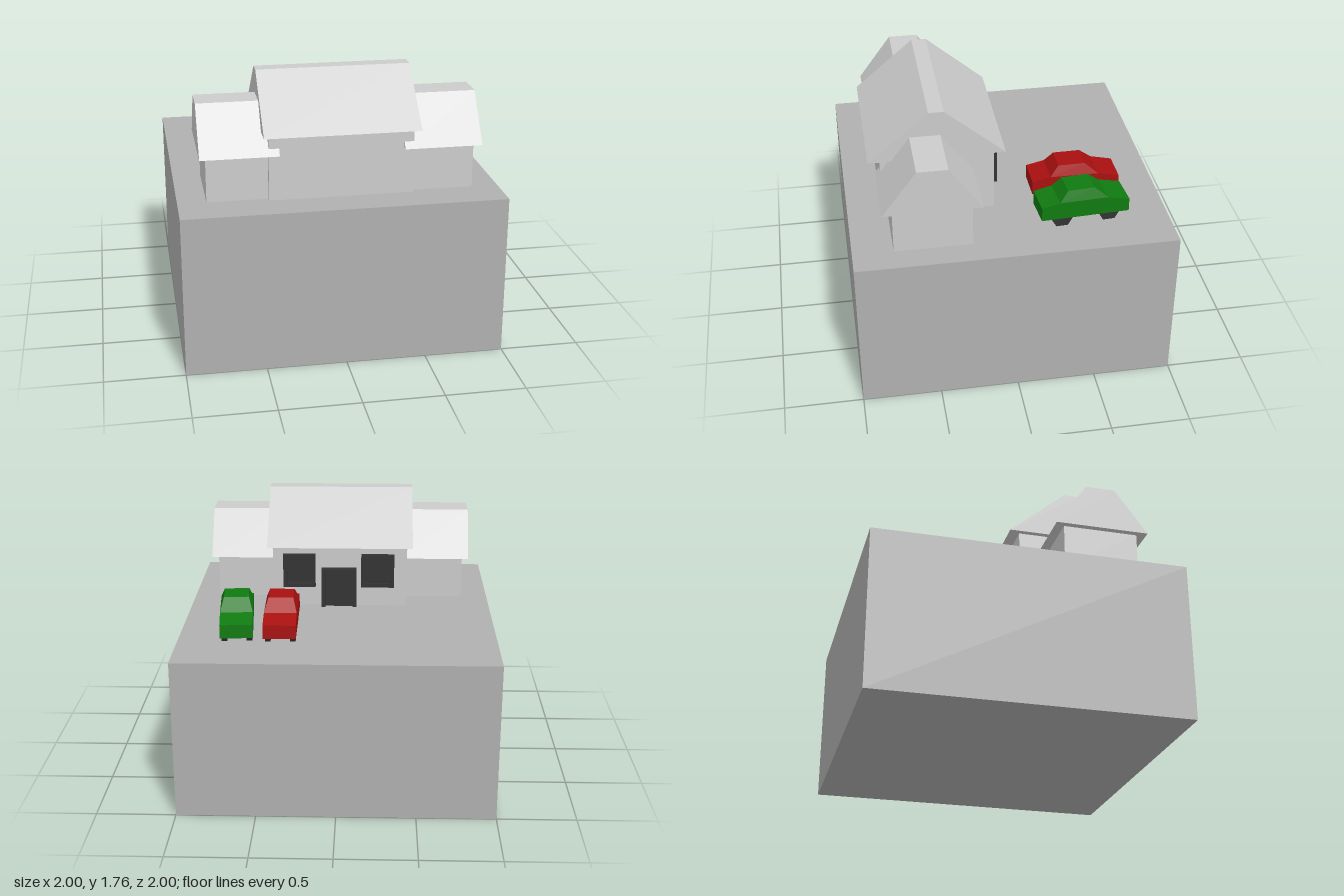
import * as THREE from 'three';

const GROUND = 1.025;
const paint = (color) => new THREE.MeshStandardMaterial({ color, flatShading: true });
const grey = paint(0xcccccc), stone = paint(0xb0b0b0), dark = paint(0x333333);

function add(parent, name, geometry, material) {
  const mesh = new THREE.Mesh(geometry, material);
  mesh.name = name;
  parent.add(mesh);
  return mesh;
}

// Box given by its limits on each axis
function span(x0, x1, y0, y1, z0, z1) {
  return new THREE.BoxGeometry(x1 - x0, y1 - y0, z1 - z0)
    .translate((x0 + x1) / 2, (y0 + y1) / 2, (z0 + z1) / 2);
}

// Prism along x from a [z, y] outline
function prism(points, x0, x1) {
  const shape = new THREE.Shape(points.map(([z, y]) => new THREE.Vector2(z, y)));
  return new THREE.ExtrudeGeometry(shape, { depth: x1 - x0, bevelEnabled: false })
    .rotateY(-Math.PI / 2).translate(x1, 0, 0);
}

// Frame with a recessed panel, set on the back wall
function opening(parent, name, x0, x1, y0, y1, zFace, zPanel, hasSill) {
  const g = new THREE.Group(), t = 0.025, zWall = 0.08;
  g.name = name;
  add(g, 'panel', span(x0 + t, x1 - t, y0, y1 - t, zPanel, zWall), dark);
  add(g, 'jamb', span(x0, x0 + t, y0, y1, zFace, zWall), dark);
  add(g, 'jamb', span(x1 - t, x1, y0, y1, zFace, zWall), dark);
  add(g, 'lintel', span(x0 + t, x1 - t, y1 - t, y1, zFace, zWall), dark);
  if (hasSill) add(g, 'sill', span(x0 + t, x1 - t, y0, y0 + t, zFace, zWall), dark);
  parent.add(g);
}

// Car with its nose towards -z
function car(name, color) {
  const g = new THREE.Group(), body = paint(color), w = 0.102;
  g.name = name;
  add(g, 'carBody', prism([
    [-0.283, 0.06], [0.28, 0.07], [0.28, 0.16], [0.165, 0.185], [-0.145, 0.18], [-0.283, 0.147],
  ], -w, w), body);

  // Cabin: a box whose corners are drawn in towards the roof
  const cabin = new THREE.BoxGeometry(1, 1, 1), p = cabin.attributes.position;
  for (let i = 0; i < p.count; i++) {
    const top = p.getY(i) > 0, rear = p.getZ(i) > 0;
    p.setXYZ(i, Math.sign(p.getX(i)) * (top ? 0.078 : w),
      top ? 0.252 : rear ? 0.185 : 0.18,
      top ? (rear ? 0.11 : -0.06) : (rear ? 0.165 : -0.145));
  }
  cabin.computeVertexNormals();
  add(g, 'cabin', cabin, body);

  // Six-sided wheels
  for (const x of [-1, 1]) for (const z of [-0.157, 0.147]) {
    const wheel = new THREE.CylinderGeometry(0.074, 0.074, 0.035, 6)
      .rotateZ(Math.PI / 2).rotateX(Math.PI / 6);
    // Turn so that a flat side faces the ground
    wheel.computeBoundingBox();
    if (wheel.boundingBox.min.y < -0.07) wheel.rotateX(Math.PI / 6);
    add(g, 'wheel', wheel.translate(x * 0.078, 0.074, z), dark);
  }
  return g;
}

export function createModel() {
  const model = new THREE.Group();
  model.name = 'houseOnBlock';
  add(model, 'groundBlock', span(-1, 1, 0, GROUND, -1, 1), stone);

  // Main house
  const house = new THREE.Group();
  house.name = 'house';
  model.add(house);
  add(house, 'mainWalls', span(-0.445, 0.45, GROUND, 1.445, 0.07, 0.78), grey);
  add(house, 'mainRoof', prism([[0, 1.443], [0.855, 1.443], [0.475, 1.765], [0.38, 1.765]], -0.48, 0.482), grey);

  // Side wings, whose roofs run into the main house
  const wingRoof = [[0.2, 1.315], [0.81, 1.315], [0.595, 1.605], [0.405, 1.605]];
  add(house, 'rightWingWalls', span(-0.823, -0.4, GROUND, 1.32, 0.26, 0.747), grey);
  add(house, 'rightWingRoof', prism(wingRoof, -0.862, -0.38), grey);
  add(house, 'leftWingWalls', span(0.4, 0.835, GROUND, 1.32, 0.26, 0.747), grey);
  add(house, 'leftWingRoof', prism(wingRoof, 0.39, 0.873), grey);

  // Door and windows on the back wall
  opening(house, 'door', -0.11, 0.125, GROUND, 1.29, 0.025, 0.05, false);
  opening(house, 'leftWindow', 0.165, 0.38, 1.16, 1.385, 0.04, 0.06, true);
  opening(house, 'rightWindow', -0.36, -0.14, 1.16, 1.385, 0.04, 0.06, true);

  // Parked cars
  const redCar = car('redCar', 0xa81010);
  redCar.position.set(0.357, GROUND, -0.453);
  redCar.rotation.y = 0.015;
  const greenCar = car('greenCar', 0x107a10);
  greenCar.position.set(0.64, GROUND, -0.45);
  greenCar.rotation.y = 0.08;
  model.add(redCar, greenCar);
  return model;
}
